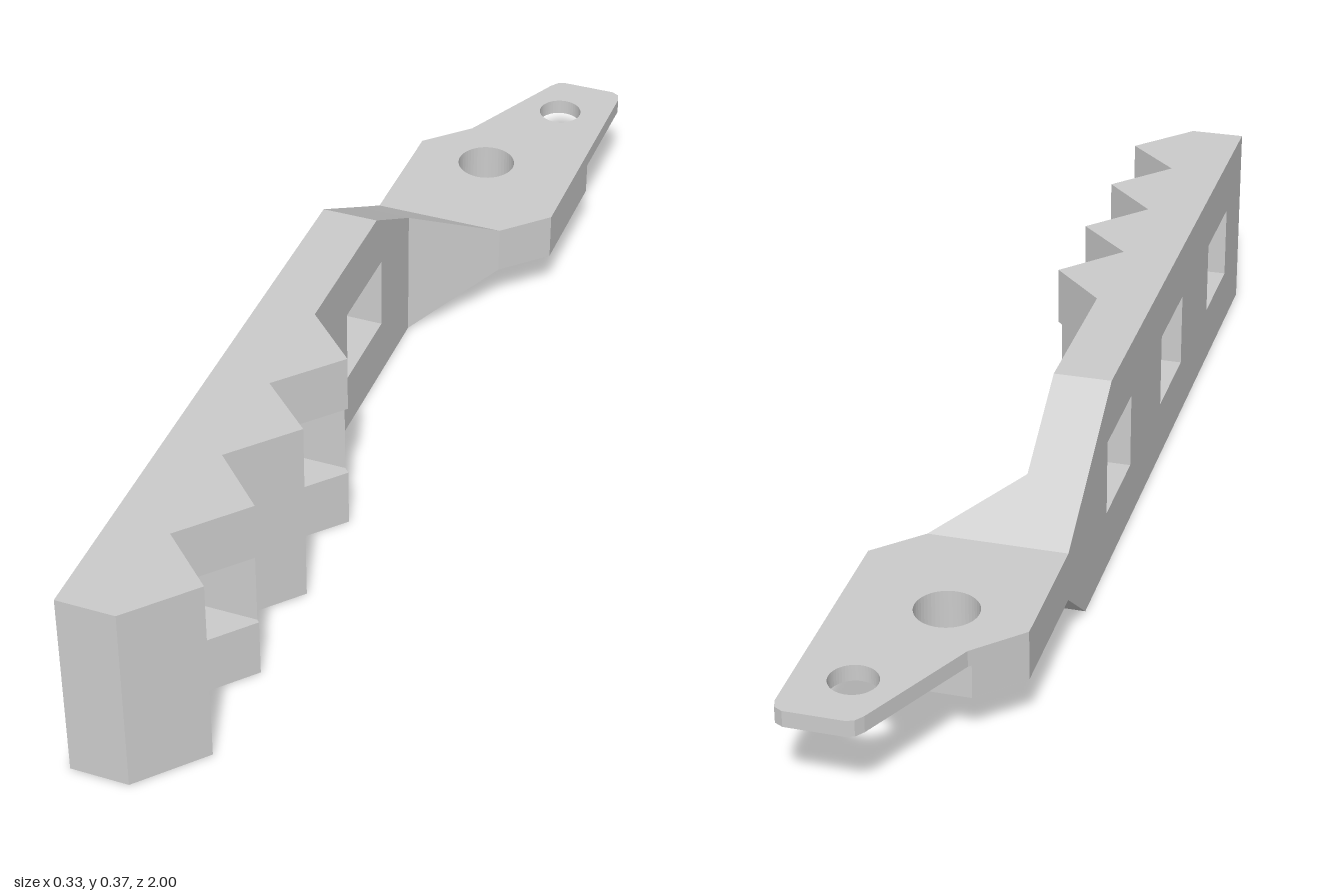
import * as THREE from 'three';

const material = new THREE.MeshStandardMaterial({ color: 0xcccccc, flatShading: true });
const LEFT = -0.165, INNER = -0.06, TOP = 0.37;
const SILL = 0.115, HEAD = 0.26; // window heights
const windows = [[0.68, 0.86], [0.26, 0.44], [-0.165, 0.015]];

function addMesh(group, name, geometry) {
  const mesh = new THREE.Mesh(geometry, material);
  mesh.name = name;
  group.add(mesh);
}

// Upright prism from an [x, z] outline, with optional round holes [x, z, radius]
function prism(points, y0, y1, holes = []) {
  const shape = new THREE.Shape(points.map(([x, z]) => new THREE.Vector2(x, -z)));
  for (const [x, z, r] of holes) {
    shape.holes.push(new THREE.Path().absarc(x, -z, r, 0, Math.PI * 2, true));
  }
  return new THREE.ExtrudeGeometry(shape, { depth: y1 - y0, bevelEnabled: false, curveSegments: 24 })
    .rotateX(-Math.PI / 2).translate(0, y0, 0);
}

// Flat side plate with three square windows
function plateGeometry() {
  const outline = [[1, 0], [-0.315, 0], [-0.315, 0.263], [-0.14, TOP], [1, TOP]];
  const shape = new THREE.Shape(outline.map(([z, y]) => new THREE.Vector2(-z, y)));
  for (const [a, b] of windows) {
    shape.holes.push(new THREE.Path([[a, SILL], [b, SILL], [b, HEAD], [a, HEAD]]
      .map(([z, y]) => new THREE.Vector2(-z, y))));
  }
  return new THREE.ExtrudeGeometry(shape, { depth: INNER - LEFT, bevelEnabled: false })
    .rotateY(Math.PI / 2).translate(LEFT, 0, 0);
}

// Triangular tooth outline cut to the span from a to b
function toothOutline(back, peak, front, a, b) {
  const edge = (z) => INNER + 0.1 * (z > peak ? (front - z) / (front - peak) : (z - back) / (peak - back));
  const points = [[INNER, a]];
  if (a > back) points.push([edge(a), a]);
  if (peak > a && peak < b) points.push([0.04, peak]);
  if (b < front) points.push([edge(b), b]);
  points.push([INNER, b]);
  return points;
}

// Tapered neck: four sides between two rectangular sections
function neckGeometry() {
  const ring = (x0, x1, y0, y1, z) => [[x0, y0, z], [x1, y0, z], [x1, y1, z], [x0, y1, z]];
  const near = ring(LEFT, INNER, 0, 0.263, -0.315);
  const far = ring(LEFT, 0.085, 0.097, 0.19, -0.435);
  const positions = [];
  for (let i = 0; i < 4; i++) {
    const j = (i + 1) % 4;
    positions.push(...near[i], ...far[i], ...near[j], ...near[j], ...far[i], ...far[j]);
  }
  const geometry = new THREE.BufferGeometry();
  geometry.setAttribute('position', new THREE.Float32BufferAttribute(positions, 3));
  geometry.computeVertexNormals();
  return geometry;
}

export function createModel() {
  const group = new THREE.Group();
  group.name = 'toothedBracket';

  addMesh(group, 'windowedPlate', plateGeometry());

  // Teeth in three layers; the windows cut the middle one
  const bases = [1, 0.795, 0.585, 0.38, 0.17];
  const peaks = [0.89, 0.685, 0.475, 0.27];
  peaks.forEach((peak, i) => {
    const front = bases[i], back = bases[i + 1];
    const [w0, w1] = windows[i < 2 ? 0 : 1];
    const [a, b] = i % 2 === 0 ? [w1, front] : [back, w0];
    const tooth = new THREE.Group();
    tooth.name = 'tooth' + (i + 1);
    const full = toothOutline(back, peak, front, back, front);
    addMesh(tooth, 'toothBottom', prism(full, 0, SILL));
    addMesh(tooth, 'toothMiddle', prism(toothOutline(back, peak, front, a, b), SILL, HEAD));
    addMesh(tooth, 'toothTop', prism(full, HEAD, TOP));
    group.add(tooth);
  });

  addMesh(group, 'neck', neckGeometry());

  // Mounting tab: thin upper layer reaches past the thicker lower one
  const bigHole = [-0.017, -0.655, 0.056], smallHole = [0.065, -0.89, 0.042];
  const root = [[LEFT, -0.435], [0.085, -0.435], [0.165, -0.515]];
  addMesh(group, 'tabUpper', prism([
    ...root, [0.165, -0.975], [0.16, -0.992], [0.145, -1],
    [0.042, -1], [0.028, -0.995], [0.017, -0.98], [-0.085, -0.765], [LEFT, -0.685],
  ], 0.16, 0.19, [bigHole, smallHole]));
  addMesh(group, 'tabLower', prism([
    ...root, [0.165, -0.76], [-0.09, -0.76], [LEFT, -0.685],
  ], 0.097, 0.16, [bigHole]));

  return group;
}
